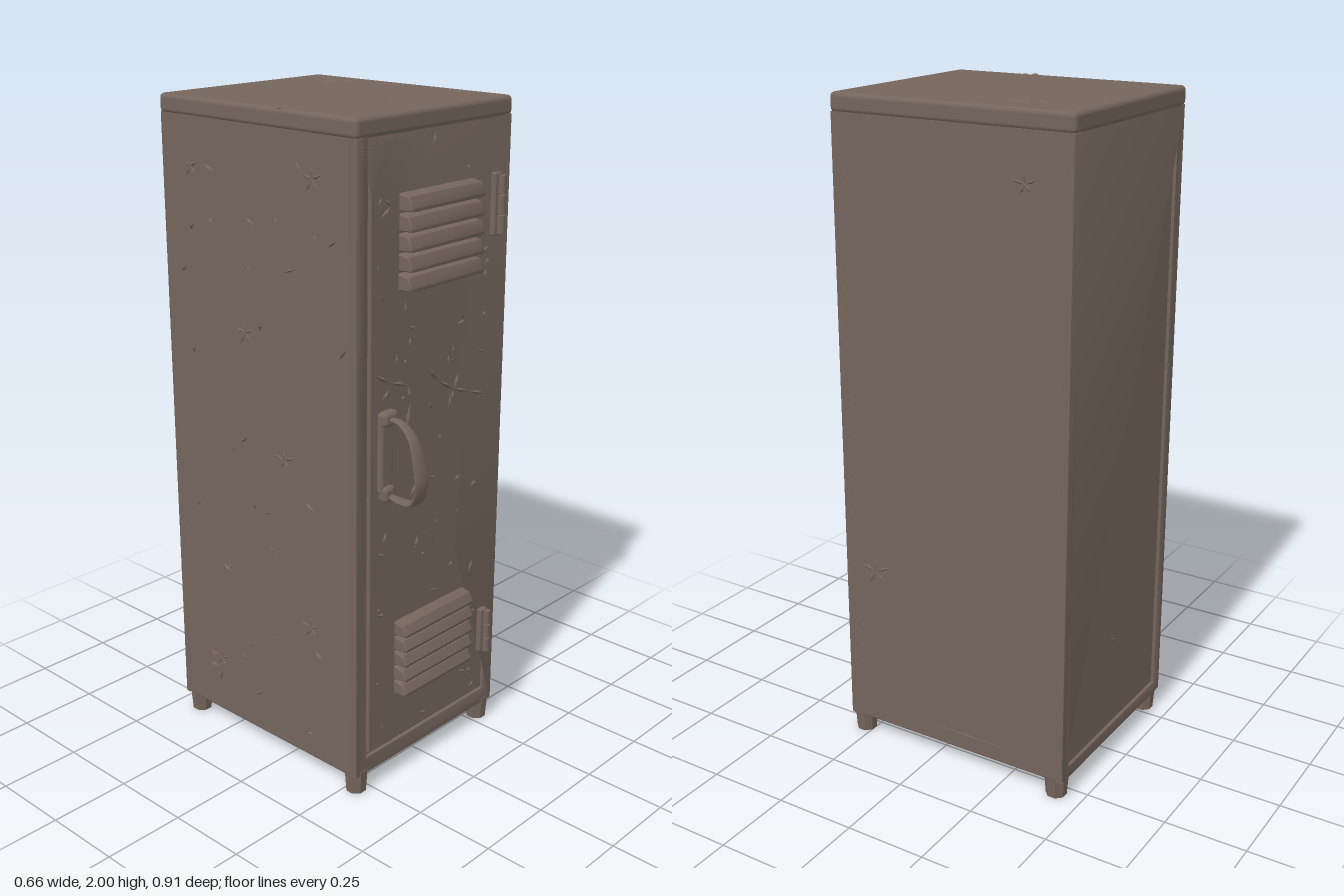
import * as THREE from 'three';
import { RoundedBoxGeometry } from 'three/addons/geometries/RoundedBoxGeometry.js';
import { toCreasedNormals } from 'three/addons/utils/BufferGeometryUtils.js';

export function createModel() {
  const locker = new THREE.Group();
  locker.name = 'locker';
  const paint = new THREE.MeshStandardMaterial({ color: 0x74655c });
  paint.name = 'brownPaintedMetal';

  const add = (name, geo, x = 0, y = 0, z = 0, parent = locker) => {
    const m = new THREE.Mesh(geo, paint);
    m.name = name;
    m.position.set(x, y, z);
    parent.add(m);
    return m;
  };
  const group = (name) => {
    const g = new THREE.Group();
    g.name = name;
    locker.add(g);
    return g;
  };
  const rbox = (w, h, d, r) => new RoundedBoxGeometry(w, h, d, 3, r);
  const outline = (P, w, y0, y1) => {
    const p = new P();
    p.moveTo(-w, y0); p.lineTo(w, y0); p.lineTo(w, y1); p.lineTo(-w, y1); p.closePath();
    return p;
  };

  // Cabinet shell and lid
  add('cabinetShell', rbox(0.642, 1.885, 0.74, 0.006), 0, 1.0025, -0.072);
  add('lid', rbox(0.65, 0.056, 0.766, 0.014), 0, 1.964, -0.072);

  // Raised frames around the door and the back panel
  const frame = (holeW, y0, y1, depth) => {
    const s = outline(THREE.Shape, 0.323, 0.06, 1.94);
    s.holes.push(outline(THREE.Path, holeW, y0, y1));
    const b = 0.006;
    return toCreasedNormals(new THREE.ExtrudeGeometry(s, {
      depth: depth - 2 * b, bevelEnabled: true, bevelSize: b, bevelThickness: b,
      bevelOffset: -b, bevelSegments: 2,
    }).translate(0, 0, b), 0.6);
  };
  add('frontFrame', frame(0.276, 0.115, 1.935, 0.03), 0, 0, 0.28);
  add('backFrame', frame(0.282, 0.1, 1.935, 0.025), 0, 0, -0.453);

  // Door
  add('door', rbox(0.536, 1.804, 0.04, 0.006), 0, 1.025, 0.29);

  // Feet: octagonal blocks tapering to the floor
  const feet = group('feet');
  const footGeo = new THREE.CylinderGeometry(0.039, 0.033, 0.075, 8).rotateY(Math.PI / 8);
  footGeo.scale(0.95, 1, 0.95);
  const footFlat = toCreasedNormals(footGeo, 0.4);
  for (const x of [-0.288, 0.288])
    for (const z of [-0.415, 0.278]) add('foot', footFlat, x, 0.0375, z, feet);

  // Louvre hoods, leaning outward toward their lower edge
  const hood = (pitch) => {
    const p = new THREE.Shape();
    p.moveTo(0, 0); p.lineTo(0.046, 0.002); p.lineTo(0.049, 0.012);
    p.lineTo(0.036, pitch * 0.78); p.lineTo(0, pitch * 0.9); p.closePath();
    const g = new THREE.ExtrudeGeometry(p, {
      depth: 0.298, bevelEnabled: true, bevelSize: 0.004, bevelThickness: 0.009,
      bevelOffset: -0.004, bevelSegments: 2,
    });
    // Profile runs in z and y; the extrusion runs across the door
    return toCreasedNormals(g.translate(0, 0, -0.149).rotateY(-Math.PI / 2), 0.7);
  };
  for (const [name, y0, pitch] of [['upperLouvres', 1.517, 0.054], ['lowerLouvres', 0.282, 0.049]]) {
    const g = group(name);
    const geo = hood(pitch);
    for (let i = 0; i < 5; i++) add('louvre', geo, 0, y0 + i * pitch, 0.308, g);
  }

  // Hinges: leaf plate with a row of knuckles
  for (const [name, y, h] of [['upperHinge', 1.695, 0.18], ['lowerHinge', 0.34, 0.15]]) {
    const g = group(name);
    add('hingeLeaf', rbox(0.032, h, 0.02, 0.005), 0.252, y, 0.316, g);
    for (let i = -1; i <= 1; i++)
      add('hingeKnuckle', new THREE.CylinderGeometry(0.012, 0.012, h * 0.29, 10), 0.257, y + i * h * 0.32, 0.333, g);
  }

  // Handle: mounting plate and a looped strap that is widest near its middle
  const handle = group('handle');
  add('handlePlate', rbox(0.05, 0.24, 0.022, 0.009), -0.215, 1.07, 0.318, handle);
  add('handleTopMount', rbox(0.058, 0.045, 0.035, 0.014), -0.21, 1.172, 0.325, handle);
  add('handleBottomMount', rbox(0.045, 0.05, 0.035, 0.014), -0.215, 0.95, 0.325, handle);
  const path = new THREE.CatmullRomCurve3([
    [1.172, 0.33], [1.168, 0.375], [1.135, 0.415], [1.07, 0.44], [1.0, 0.449],
    [0.95, 0.43], [0.94, 0.385], [0.945, 0.33],
  ].map(([y, z]) => new THREE.Vector3(0, y, z)));
  const strap = new THREE.TubeGeometry(path, 40, 0.0065, 12, false);
  const v = strap.attributes.position;
  for (let i = 0; i < v.count; i++) {
    const t = Math.floor(i / 13) / 40;
    v.setX(i, v.getX(i) * (1.8 + 2.6 * Math.sin(Math.PI * Math.pow(t, 1.3))));
  }
  strap.computeVertexNormals();
  add('handleStrap', strap, -0.212, 0, 0, handle);

  // Wear marks: thin pointed ridges lying on a surface
  let seed = 7;
  const rnd = () => (seed = (seed * 16807) % 2147483647) / 2147483647;
  const ridgeGeo = toCreasedNormals(new THREE.OctahedronGeometry(1), 0.3);
  const ridge = (g, a, b, width, height) => {
    const m = add('scratch', ridgeGeo, (a[0] + b[0]) / 2, (a[1] + b[1]) / 2, 0, g);
    m.scale.set(Math.hypot(b[0] - a[0], b[1] - a[1]) / 2, width, height);
    m.rotation.z = Math.atan2(b[1] - a[1], b[0] - a[0]);
  };
  const scatter = (g, count, w, y0, y1, height, skip = () => false) => {
    for (let i = 0; i < count; i++) {
      const x = (rnd() * 2 - 1) * w, y = y0 + rnd() * (y1 - y0);
      const a = rnd() * Math.PI, l = 0.012 + rnd() * 0.035;
      if (!skip(x, y))
        ridge(g, [x, y], [x + l * Math.cos(a), y + l * Math.sin(a)], 0.003 + rnd() * 0.003, height);
    }
  };
  const star = (g, x, y, r) => {
    for (let i = 0; i < 5; i++) {
      const a = i * 1.2566 + 0.4, l = r * (0.75 + 0.5 * rnd());
      ridge(g, [x, y], [x + l * Math.cos(a), y + l * Math.sin(a)], r * 0.13, 0.004);
    }
  };

  // Door scratches, with two long bent gouges
  const doorWear = group('doorScratches');
  doorWear.position.z = 0.31;
  for (const line of [
    [[-0.25, 1.3], [-0.19, 1.265], [-0.11, 1.24], [-0.1, 1.19], [-0.12, 1.1]],
    [[-0.04, 1.28], [0.02, 1.22], [0.09, 1.18], [0.16, 1.155], [0.24, 1.13]],
    [[0.09, 1.18], [0.11, 1.225]],
  ]) for (let i = 1; i < line.length; i++) ridge(doorWear, line[i - 1], line[i], 0.007, 0.007);
  scatter(doorWear, 75, 0.24, 0.15, 1.9, 0.006, (x, y) =>
    Math.abs(x) < 0.19 && ((y > 1.48 && y < 1.8) || (y > 0.24 && y < 0.54)));

  // Dents on the sides, the lid and the back
  const rightWear = group('rightSideDents');
  rightWear.position.set(-0.322, 0, -0.07);
  rightWear.rotation.y = -Math.PI / 2;
  scatter(rightWear, 34, 0.34, 0.12, 1.9, 0.008);
  for (const [x, y] of [[-0.26, 1.8], [0.22, 1.82], [-0.05, 1.35], [0.1, 1.0], [0.2, 0.5], [-0.2, 0.25]])
    star(rightWear, x, y, 0.035);

  const leftWear = group('leftSideDents');
  leftWear.position.set(0.322, 0, 0);
  leftWear.rotation.y = Math.PI / 2;
  star(leftWear, 0.31, 1.8, 0.035);
  star(leftWear, -0.2, 0.58, 0.05);
  ridge(leftWear, [-0.02, 0.115], [0.27, 0.115], 0.003, 0.003);

  const lidWear = group('lidDents');
  lidWear.position.y = 1.992;
  lidWear.rotation.x = -Math.PI / 2;
  star(lidWear, 0.21, 0.26, 0.06);
  star(lidWear, -0.29, -0.04, 0.04);
  ridge(lidWear, [0.02, -0.095], [0.045, -0.085], 0.003, 0.003);

  const backWear = group('backDents');
  backWear.position.z = -0.442;
  backWear.rotation.y = Math.PI;
  ridge(backWear, [-0.03, 0.4], [0.03, 0.37], 0.005, 0.004);
  ridge(backWear, [0.14, 0.3], [0.17, 0.27], 0.004, 0.004);

  return locker;
}
